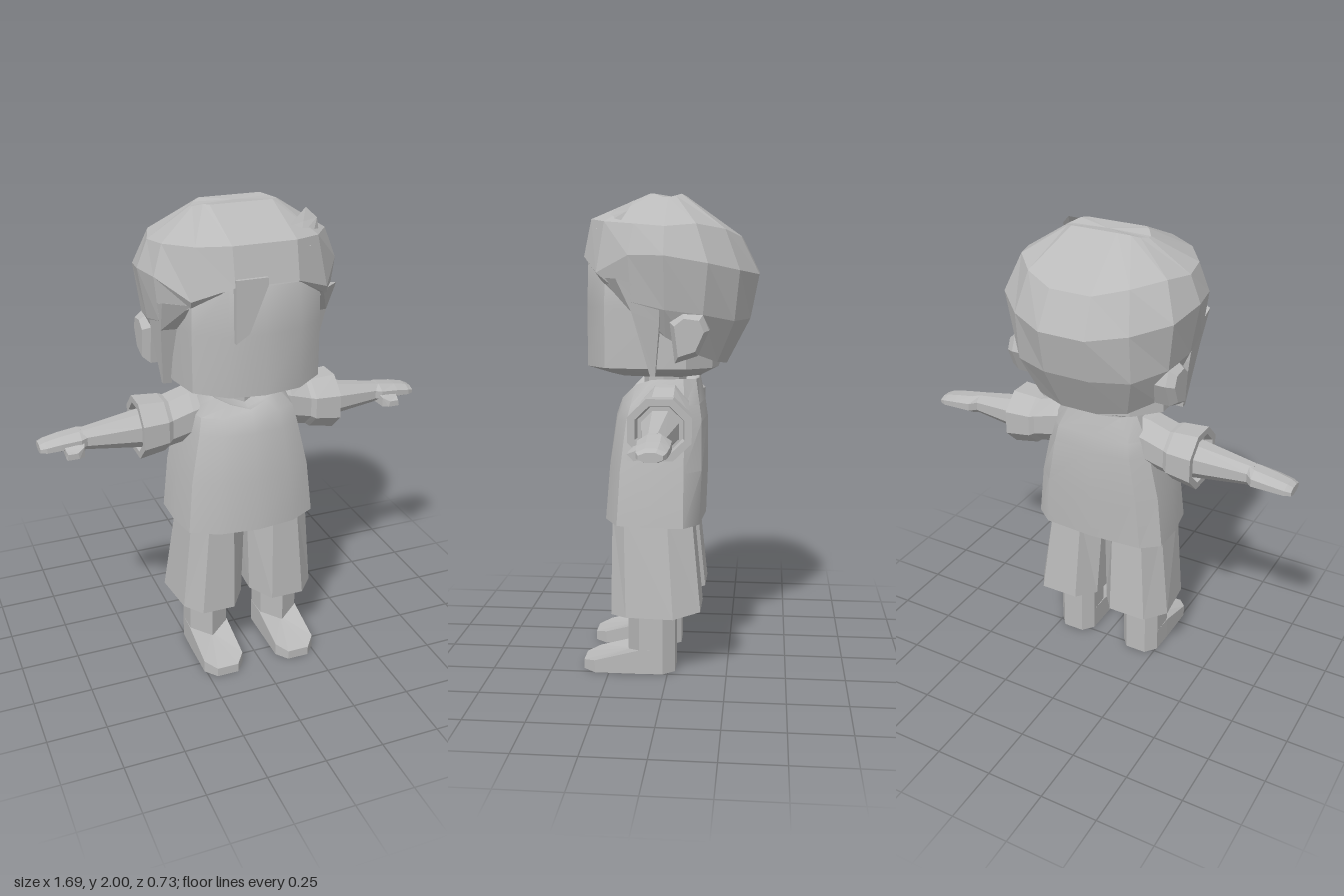
import * as THREE from 'three';
import { toCreasedNormals } from 'three/addons/utils/BufferGeometryUtils.js';

const grey = new THREE.MeshStandardMaterial({ color: 0xbababa });
grey.name = 'plain grey';

// Closed loft through rings of [x, y, z]; faces are turned outward by signed volume.
function loft(rings, crease = 0) {
  const n = rings[0].length, tris = [];
  const centre = r => [0, 1, 2].map(k => r.reduce((s, p) => s + p[k], 0) / n);
  const first = rings[0], last = rings[rings.length - 1];
  const c0 = centre(first), c1 = centre(last);
  for (let j = 0; j < n; j++) {
    const k = (j + 1) % n;
    for (let i = 0; i < rings.length - 1; i++) {
      const a = rings[i], b = rings[i + 1];
      tris.push([a[j], b[j], b[k]], [a[j], b[k], a[k]]);
    }
    tris.push([c0, first[j], first[k]], [c1, last[k], last[j]]);
  }
  let volume = 0;
  for (const [a, b, c] of tris) {
    volume += a[0] * (b[1] * c[2] - b[2] * c[1]) + a[1] * (b[2] * c[0] - b[0] * c[2])
      + a[2] * (b[0] * c[1] - b[1] * c[0]);
  }
  if (volume < 0) tris.forEach(t => t.reverse());
  const geo = new THREE.BufferGeometry();
  geo.setAttribute('position', new THREE.Float32BufferAttribute(tris.flat(2), 3));
  geo.computeVertexNormals();
  return crease ? toCreasedNormals(geo, crease) : geo;
}

// Half ring from front to back, completed on the other side.
const mirrorRing = half => [...half, ...half.filter(p => p[0] > 0).reverse().map(([x, y, z]) => [-x, y, z])];
const plan = (y, pts) => pts.map(([x, z]) => [x, y, z]);
// Ellipse-like octagon across the x axis: x, centre y, radii, centre z.
function armRing(side, [x, y, ry, rz, z = 0.012]) {
  return Array.from({ length: 8 }, (_, i) => {
    const a = (i + 0.5) * Math.PI / 4;
    return [side * x, y + Math.sin(a) * ry * 1.08, z + Math.cos(a) * rz * 1.08];
  });
}

export function createModel() {
  const model = new THREE.Group();
  const add = (name, geo) => {
    const m = new THREE.Mesh(geo, grey);
    m.name = name;
    model.add(m);
    return m;
  };

  // Face and skull
  const skull = (y, s, tilt = 0) => mirrorRing(
    [[0, .348], [.15, .338], [.27, .25], [.3, .1], [.3, -.08], [.2, -.18], [.08, -.2]]
      .map(([x, z]) => [x * s, y + tilt * Math.abs(x), z * s]));
  add('head', loft([skull(1.27, .72), skull(1.298, 1, .04), skull(1.55, 1), skull(1.74, .98), skull(1.8, .86)], 0.6));

  // Faceted hair cap: crown down to the hairline
  add('hair', loft([
    [[.13, 2, .08], [.15, 2, .06], [.18, 1.985, .02], [.18, 1.985, 0], [.16, 1.99, -.03], [.13, 2, -.05], [.07, 2, -.05]],
    [[.13, 1.9, .32], [.25, 1.89, .25], [.34, 1.88, .12], [.36, 1.87, 0], [.32, 1.88, -.12], [.22, 1.86, -.23], [.09, 1.83, -.29]],
    [[.13, 1.75, .352], [.28, 1.69, .28], [.38, 1.76, .14], [.405, 1.76, 0], [.375, 1.73, -.17], [.25, 1.7, -.29], [.1, 1.68, -.365]],
    [[.13, 1.745, .335], [.275, 1.66, .26], [.36, 1.58, .13], [.37, 1.55, 0], [.35, 1.53, -.15], [.25, 1.5, -.27], [.1, 1.5, -.33]],
    [[.13, 1.74, .32], [.27, 1.655, .24], [.33, 1.52, .1], [.32, 1.44, 0], [.29, 1.37, -.12], [.2, 1.33, -.2], [.08, 1.315, -.235]],
  ].map(mirrorRing)));

  // Pointed lock over the forehead
  const lock = new THREE.Shape([[-.13, 1.78], [-.13, 1.53], [-.075, 1.565], [0, 1.75], [0, 1.78]]
    .map(p => new THREE.Vector2(...p)));
  add('foreheadLock', new THREE.ExtrudeGeometry(lock, { depth: .03, bevelEnabled: false })).position.z = .33;

  // Raised tuft on the left of the crown
  add('hairTuft', loft([
    [[.13, 1.93, .24], [.25, 1.97, .13], [.29, 1.93, .15], [.17, 1.9, .27]],
    [[.14, 1.87, .3], [.26, 1.88, .2], [.28, 1.86, .2], [.2, 1.86, .29]],
  ]));

  // Collarless neck
  const neck = add('neck', new THREE.CylinderGeometry(.09, .09, .22, 8).toNonIndexed());
  neck.geometry.computeVertexNormals();
  neck.position.set(0, 1.2, .03);

  // Loose shirt with a dipped neckline
  const shirt = (y, w, f, b) => mirrorRing(plan(y,
    [[0, f], [w * .55, f - .02], [w * .92, f * .72], [w, .07], [w, -.07], [w * .75, b + .015], [0, b]]));
  add('shirt', loft([
    shirt(.655, .305, .288, -.147), shirt(.88, .282, .27, -.155), shirt(1.08, .237, .24, -.152),
    shirt(1.15, .22, .215, -.142),
    mirrorRing([[0, 1.17, .19], [.08, 1.195, .17], [.14, 1.225, .14], [.17, 1.25, .07], [.17, 1.255, -.06], [.12, 1.25, -.11], [0, 1.24, -.115]]),
    mirrorRing([[0, 1.165, .16], [.07, 1.185, .14], [.11, 1.2, .1], [.12, 1.21, .06], [.12, 1.21, -.04], [.09, 1.21, -.08], [0, 1.2, -.085]]),
  ], 0.7));

  for (const [side, label] of [[1, 'left'], [-1, 'right']]) {
    const flip = rings => rings.map(r => r.map(([x, y, z]) => [side * x, y, z]));

    // Lock of hair in front of the ear
    add(label + 'Sideburn', loft(flip([
      [[.275, 1.67, .262], [.365, 1.67, .19], [.375, 1.62, .02], [.29, 1.62, .02]],
      [[.282, 1.54, .14], [.355, 1.54, .13], [.36, 1.5, .02], [.29, 1.5, .02]],
      [[.295, 1.285, .065], [.33, 1.285, .06], [.33, 1.285, .04], [.3, 1.285, .04]],
    ])));

    // Ear
    const ear = [[-.02, 1.5], [-.07, 1.54], [-.15, 1.53], [-.175, 1.47], [-.13, 1.37], [-.04, 1.34]];
    add(label + 'Ear', loft(flip([.27, .35, .382].map((x, i) => ear.map(([z, y]) => {
      const s = i === 2 ? .75 : 1;
      return [x, 1.45 + (y - 1.45) * s, -.1 + (z + .1) * s];
    })))));

    // Sleeve with a hollow cuff
    add(label + 'Sleeve', loft([
      [.12, 1.14, .1, .09], [.22, 1.12, .107, .1], [.31, 1.098, .1, .105], [.33, 1.094, .11, .118],
      [.44, 1.088, .123, .127], [.44, 1.088, .095, .098], [.41, 1.088, .088, .09],
    ].map(r => armRing(side, r))));

    // Tapering forearm, mitten hand and thumb
    add(label + 'Arm', loft([[.39, 1.083, .08, .078], [.67, 1.077, .042, .042]].map(r => armRing(side, r))));
    add(label + 'Hand', loft([
      [.65, 1.078, .042, .042], [.68, 1.077, .04, .064, .005], [.76, 1.073, .032, .062, .002], [.82, 1.066, .026, .056, .002],
      [.845, 1.063, .018, .045, .002],
    ].map(r => armRing(side, r))));
    add(label + 'Thumb', loft(flip([
      [[.66, 1.04, .03], [.75, 1.04, .03], [.75, 1.09, .03], [.66, 1.09, .03]],
      [[.675, 1.03, .085], [.75, 1.03, .075], [.75, 1.065, .075], [.675, 1.07, .085]],
      [[.7, 1.03, .1], [.75, 1.03, .1], [.745, 1.055, .1], [.705, 1.055, .1]],
    ])));

    // Flared shorts leg
    add(label + 'ShortsLeg', loft(flip([
      plan(.69, [[.09, .235], [.2, .235], [.262, .18], [.27, .0], [.22, -.1], [.08, -.1], [.005, -.03], [.005, .14]]),
      [[.09, .255, .24], [.235, .255, .24], [.3, .265, .17], [.325, .27, -.03], [.26, .285, -.14],
        [.09, .285, -.14], [.025, .275, -.05], [.02, .265, .14]],
    ])));

    // Shin and wedge-toed foot
    const shin = [[.085, .12], [.17, .175], [.255, .12], [.255, .02], [.215, -.03], [.12, -.03], [.08, .02]];
    add(label + 'Shin', loft(flip([plan(.05, shin), plan(.32, shin)])));
    const sole = [[.08, .02], [.08, .12], [.08, .31], [.12, .362], [.215, .362], [.258, .31], [.258, .12], [.255, .02], [.215, -.03], [.12, -.03]];
    add(label + 'Foot', loft(flip([
      plan(0, sole),
      sole.map(([x, z]) => [x, Math.min(.105, .04 + (.362 - z) * .27), z]),
    ])));
  }
  return model;
}
